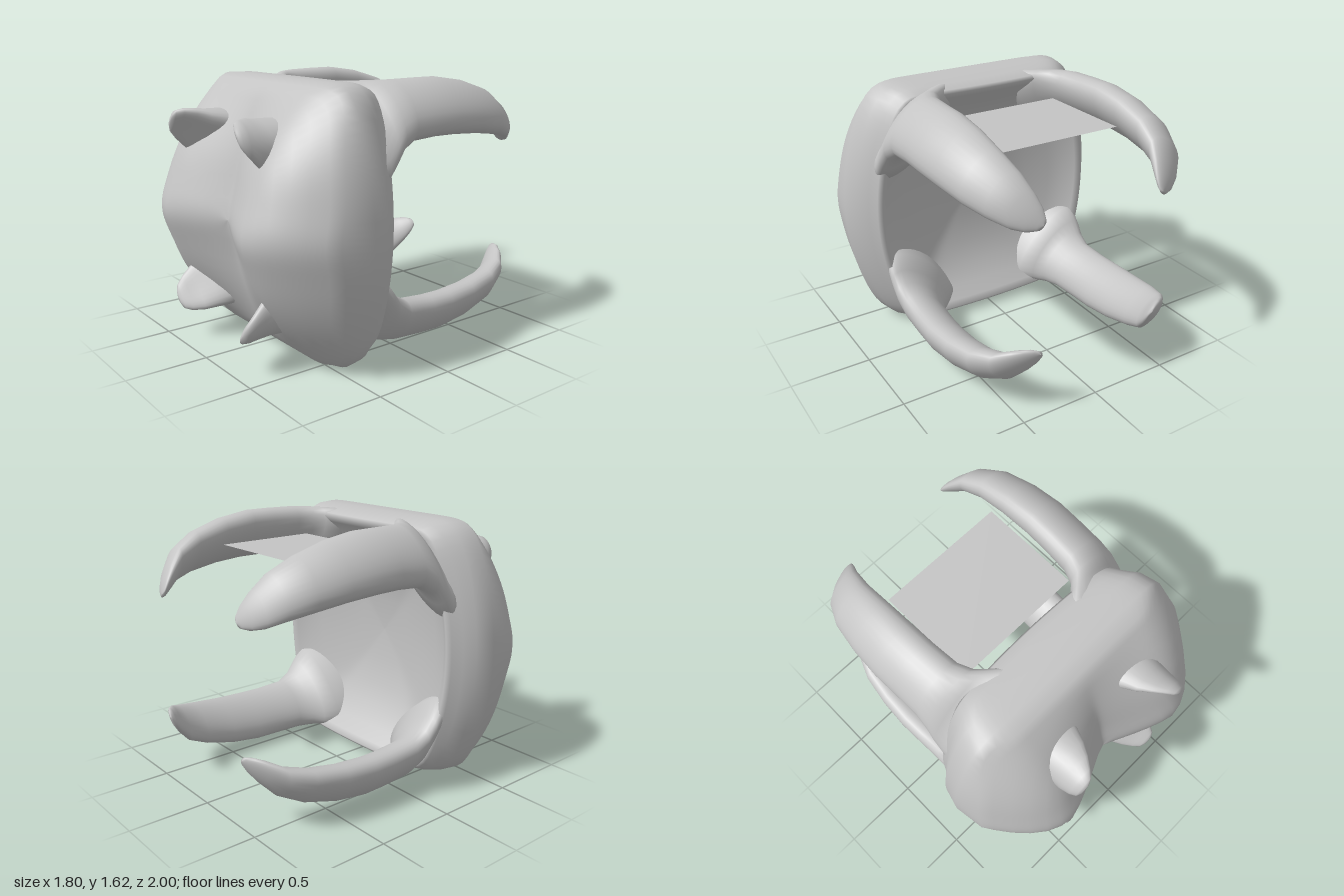
import * as THREE from 'three';

const MID = 0.81; // height of the horizontal mirror plane

// Skin a list of point rings with smooth shading
function loft(rings, flip) {
  const n = rings[0].length, pos = [], idx = [];
  rings.forEach(r => r.forEach(p => pos.push(...p)));
  for (let i = 0; i < rings.length - 1; i++) {
    for (let j = 0; j < n; j++) {
      const a = i * n + j, b = i * n + (j + 1) % n, c = b + n, d = a + n;
      if (flip) idx.push(a, c, b, a, d, c);
      else idx.push(a, b, c, a, c, d);
    }
  }
  const g = new THREE.BufferGeometry();
  g.setAttribute('position', new THREE.Float32BufferAttribute(pos, 3));
  g.setIndex(idx);
  g.computeVertexNormals();
  return g;
}

// Domed front with two cheeks and a groove between them
function frontZ(x, y) {
  const ax = Math.hypot(x, 0.03);
  const cheek = ax > 0.45 ? 1.9 * (ax - 0.45) ** 2 : 0;
  const groove = ax < 0.45 ? 0.19 * (1 - ax / 0.45) ** 1.25 * Math.max(0, 1 - y * y / 0.55) : 0;
  const nose = 0.035 * (1 - Math.exp(-((y / 0.15) ** 2)));
  return 1 - 0.68 * y * y - nose - cheek - groove;
}

// Barrel-sided square shell: hollow back, rim, then the front dome
function bodyGeometry() {
  const SEG = 144, rings = [];
  const outline = (j) => {
    const t = j / SEG * Math.PI * 2, c = Math.cos(t), s = Math.sin(t), n = 13;
    const r = (Math.abs(c / 0.9) ** n + Math.abs(s / 0.81) ** n) ** (-1 / n);
    const y = s * r;
    return [c * r * (1 - 0.36 * y * y), y];
  };
  const addRing = (sx, sy, zFn) => {
    const ring = [];
    for (let j = 0; j < SEG; j++) {
      const [ox, oy] = outline(j), x = ox * sx, y = oy * sy;
      ring.push([x, y + MID, zFn(x, y)]);
    }
    rings.push(ring);
  };
  // scale x, scale y, z
  const back = [
    [0.001, 0.001, 0.42], [0.25, 0.25, 0.412], [0.45, 0.47, 0.38], [0.62, 0.65, 0.325], [0.73, 0.79, 0.25],
    [0.8, 0.88, 0.185], [0.835, 0.925, 0.16], [0.865, 0.95, 0.175], [0.9, 0.98, 0.235], [0.965, 0.997, 0.345], [1, 1, 0.46],
  ];
  back.forEach(([sx, sy, z]) => addRing(sx, sy, x => z + (z < 0.3 ? 0.09 * x * x : 0)));
  for (const r of [0.97, 0.92, 0.85, 0.77, 0.68, 0.59, 0.5, 0.41, 0.32, 0.23, 0.15, 0.07, 0.001]) addRing(r, r, frontZ);
  return loft(rings, false);
}

// Oval sections whose long axis lies along (ux, uy), ends bent inward, mirrored by sx and sy
function limbGeometry(sections, ux, uy, bend, sx, sy, towardBack) {
  const SEG = 28, l = Math.hypot(ux, uy);
  ux /= l; uy /= l;
  const rings = sections.map(([cx, cy, z, a, b]) => {
    const ring = [];
    for (let j = 0; j < SEG; j++) {
      const t = j / SEG * Math.PI * 2, p = a * Math.cos(t), q = b * Math.sin(t) + bend * p * p;
      ring.push([sx * (cx + ux * p - uy * q), MID + sy * (cy + uy * p + ux * q), z]);
    }
    return ring;
  });
  return loft(rings, (sx * sy < 0) !== towardBack);
}

// Arm sections, flared at the root: centre x, centre y from the middle, z, half width, half thickness
const ARM = [
  [0.48, 0.5, 0.42, 0.36, 0.14], [0.5, 0.53, 0.24, 0.35, 0.14], [0.54, 0.575, 0.175, 0.29, 0.128],
  [0.565, 0.612, 0.12, 0.24, 0.122], [0.58, 0.637, 0.03, 0.205, 0.119],
  [0.59, 0.645, -0.15, 0.198, 0.117], [0.595, 0.645, -0.3, 0.198, 0.117], [0.59, 0.624, -0.5, 0.188, 0.111],
  [0.572, 0.58, -0.7, 0.168, 0.1], [0.53, 0.525, -0.84, 0.143, 0.084], [0.475, 0.46, -0.92, 0.11, 0.065],
  [0.435, 0.42, -0.965, 0.076, 0.045], [0.405, 0.395, -0.992, 0.037, 0.022], [0.397, 0.39, -1, 0.001, 0.001],
];

// Ear sections: centre x, centre y, z, half length, half thickness
const EAR = [
  [0.33, 0.45, 0.58, 0.2, 0.16], [0.345, 0.475, 0.7, 0.185, 0.125], [0.36, 0.495, 0.79, 0.17, 0.09],
  [0.378, 0.52, 0.86, 0.15, 0.06], [0.388, 0.542, 0.92, 0.115, 0.042],
  [0.39, 0.553, 0.958, 0.08, 0.029], [0.388, 0.553, 0.972, 0.04, 0.012], [0.388, 0.553, 0.974, 0.001, 0.001],
];

export function createModel() {
  const group = new THREE.Group();
  const grey = new THREE.MeshStandardMaterial({ color: 0xc4c4c4 });
  const greySheet = new THREE.MeshStandardMaterial({ color: 0xc4c4c4, side: THREE.DoubleSide });
  grey.name = 'grey';
  greySheet.name = 'greySheet';
  const add = (name, geometry, material = grey) => {
    const mesh = new THREE.Mesh(geometry, material);
    mesh.name = name;
    group.add(mesh);
    return mesh;
  };

  add('body', bodyGeometry());

  for (const sx of [1, -1]) {
    for (const sy of [1, -1]) {
      const label = (sy > 0 ? 'upper' : 'lower') + (sx > 0 ? 'Left' : 'Right');
      // Lower arms are a little slimmer
      const k = sy > 0 ? 1 : 0.88;
      const arm = ARM.map(([x, y, z, a, b]) => [x, y - (1 - k) * b * 1.4, z, a * k, b * k]);
      add(label + 'Arm', limbGeometry(arm, 1, -1, 0, sx, sy, true));
      add(label + 'Ear', limbGeometry(EAR, -0.58, 0.81, 1.7, sx, sy, false));
    }
  }

  // Flat sheet held between the upper arms
  const sheet = add('sheet', new THREE.PlaneGeometry(0.82, 0.64), greySheet);
  sheet.rotation.x = -Math.PI / 2;
  sheet.position.set(0, 1.44, -0.24);
  return group;
}
